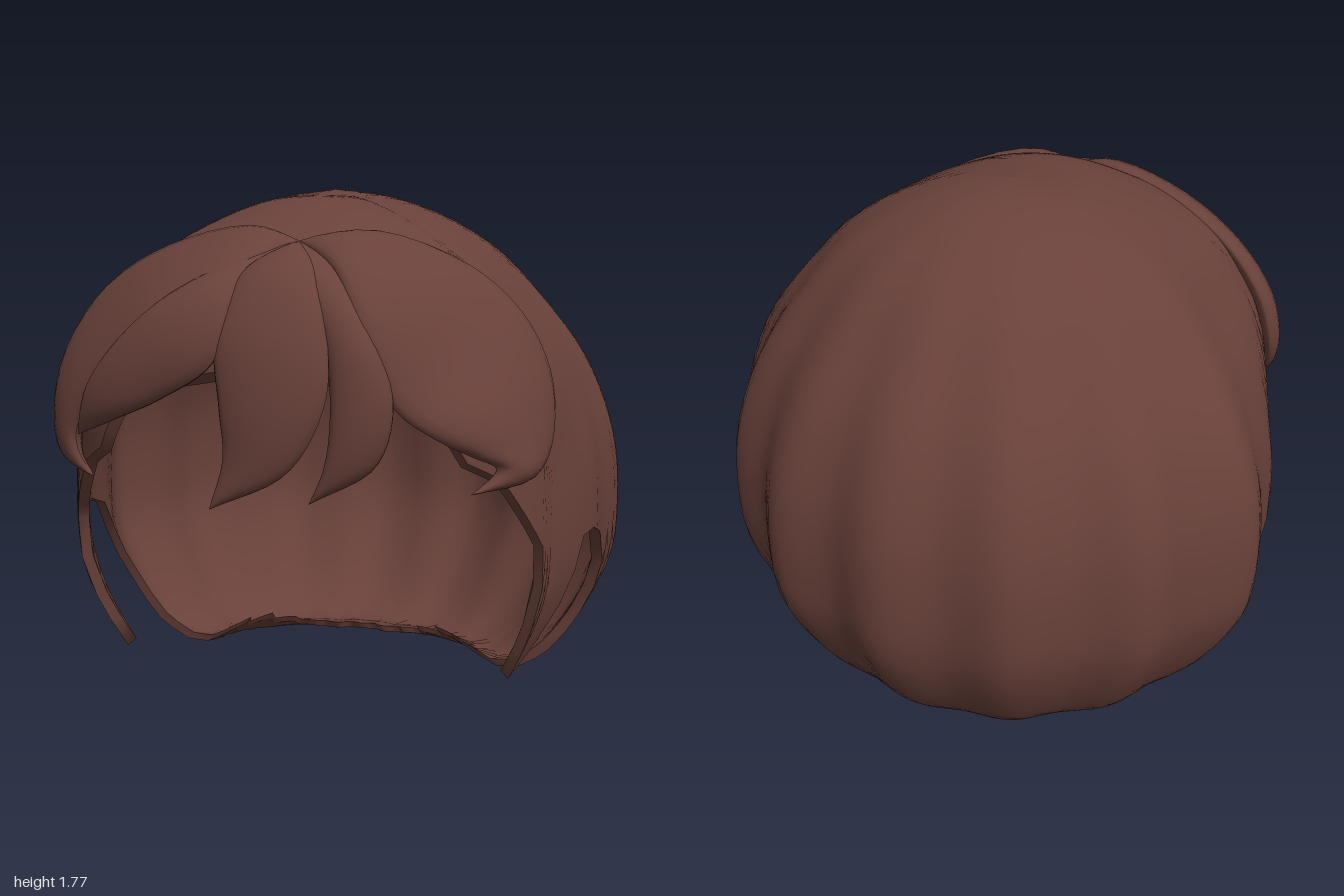
import * as THREE from 'three';

const V = (x, y, z = 0) => new THREE.Vector3(x, y, z);
const { smoothstep, degToRad } = THREE.MathUtils;
const hairBrown = new THREE.MeshStandardMaterial({ color: 0x69413a, side: THREE.DoubleSide });
hairBrown.name = 'hairBrown';

// Piecewise linear lookup in [key, value] pairs
function lookup(table, k) {
  for (let i = 1; i < table.length; i++) {
    const [k0, v0] = table[i - 1], [k1, v1] = table[i];
    if (k <= k1) return v0 + (v1 - v0) * (k - k0) / (k1 - k0);
  }
  return table[table.length - 1][1];
}

// Smooth surface through rows of points
function grid(rows, flip = false) {
  const n = rows[0].length, index = [];
  for (let i = 0; i < rows.length - 1; i++) {
    for (let j = 0; j < n - 1; j++) {
      const a = i * n + j, b = a + 1, c = a + n, d = c + 1;
      index.push(...(flip ? [a, c, b, b, c, d] : [a, b, c, b, d, c]));
    }
  }
  const geo = new THREE.BufferGeometry().setFromPoints(rows.flat());
  geo.setIndex(index);
  geo.computeVertexNormals();
  return geo;
}

function addMesh(group, name, geo) {
  const mesh = new THREE.Mesh(geo, hairBrown);
  mesh.name = name;
  group.add(mesh);
}

// Crown-to-hem profile: radius, height (below zero is the lip that curls inward)
const profile = new THREE.CatmullRomCurve3([
  [0, 1.77], [0.2, 1.75], [0.42, 1.67], [0.6, 1.55], [0.74, 1.39], [0.85, 1.24], [0.935, 1.06],
  [0.985, 0.88], [1, 0.68], [0.985, 0.48], [0.9, 0.28], [0.805, 0.13], [0.72, 0.045], [0.62, -0.01],
  [0.5, -0.11], [0.38, -0.22],
].map(([r, y]) => V(r, y)));

// Hem height by angle from the back: toothed nape lip, ear arch, pointed side lock, hairline
const hem = [
  [0, -0.17], [6, -0.12], [13, -0.18], [19, -0.12], [26, -0.18], [32, -0.11], [38, -0.17],
  [45, -0.1], [51, -0.16], [57, -0.08], [62, -0.13], [68, -0.05], [74, 0.02], [77, 0.1],
  [79, 0.25], [84, 0.47], [90, 0.6], [99, 0.65], [104, 0.64], [110, 0.42], [116, 0.16],
  [118, 0.36], [120, 0.65], [132, 0.89], [140, 0.95], [147, 1.12], [155, 1.18], [180, 1.25],
];
// Width of the head by angle from the back
const girth = [[0, 0.955], [45, 0.965], [76, 1], [95, 0.95], [116, 0.915], [132, 0.93], [180, 0.93]];

function profileAt(y) {
  let lo = 0, hi = 1;
  for (let i = 0; i < 30; i++) {
    const mid = (lo + hi) / 2;
    if (profile.getPoint(mid).y > y) lo = mid; else hi = mid;
  }
  return lo;
}

function buildCap(group) {
  const half = [0];
  for (let i = 1; i < hem.length; i++) {
    const a = hem[i - 1][0], b = hem[i][0], n = Math.max(2, Math.ceil((b - a) / 3));
    for (let k = 1; k <= n; k++) half.push(a + (b - a) * k / n);
  }
  const angles = [...half.slice(1).reverse().map((a) => -a), ...half];
  const steps = 32, outer = [];
  const ends = angles.map((a) => profileAt(lookup(hem, Math.abs(a))));
  for (let i = 0; i <= steps; i++) {
    outer.push(angles.map((deg, j) => {
      const p = profile.getPoint(ends[j] * i / steps);
      const a = degToRad(deg), abs = Math.abs(deg);
      // Soft strand ridges at the back only
      const ridge = 0.025 * (1 - smoothstep(abs, 78, 105)) * p.x * p.x * Math.cos(14 * a);
      // Swollen temples that carry the outer locks
      const temple = 0.07 * smoothstep(abs, 95, 122) * (1 - smoothstep(abs, 140, 165))
        * smoothstep(p.y, 0.85, 1.2) * (1 - smoothstep(p.y, 1.45, 1.72));
      const r = p.x * (lookup(girth, abs) + ridge) + temple;
      // Fuller crown above the fringe
      const full = smoothstep(abs, 50, 125) * smoothstep(p.y, 1.1, 1.5);
      const y = p.y < 0 ? -(0.25 + 0.5 * smoothstep(abs, 15, 65)) * p.y : p.y;
      return V(r * Math.sin(a), y - 0.02 * full, -r * Math.cos(a) + 0.15 * full);
    }));
  }
  const inner = outer.map((row) => row.map((p) => V(p.x * 0.96, 0.6 + (p.y - 0.6) * 0.95, p.z * 0.96)));
  addMesh(group, 'outerHair', grid(outer));
  addMesh(group, 'innerHair', grid(inner, true));
  addMesh(group, 'hairRim', grid([outer[steps], inner[steps]]));
}

// Puffed lock lofted between two edge curves from the shared parting
function buildLock(group, name, left, right, puff) {
  const root = [0.05, 1.6, 0.62];
  const curve = (pts) => new THREE.CatmullRomCurve3([root, ...pts].map((p) => V(...p)), false, 'centripetal');
  const L = curve(left), R = curve(right), rows = [], steps = 28, sides = 24;
  for (let i = 0; i <= steps; i++) {
    const a = L.getPoint(i / steps), b = R.getPoint(i / steps);
    const mid = a.clone().add(b).multiplyScalar(0.5);
    const side = b.clone().sub(a).multiplyScalar(0.5);
    const out = mid.clone().sub(V(0, 0.8, 0)).normalize();
    const swell = Math.pow(Math.sin(Math.PI * Math.min(0.999, i / steps)), 0.6);
    const row = [];
    for (let j = 0; j <= sides; j++) {
      const t = (j / sides) * Math.PI * 2, s = Math.sin(t);
      const lift = s * swell * (s > 0 ? puff : 0.04);
      row.push(mid.clone().addScaledVector(side, Math.cos(t)).addScaledVector(out, lift));
    }
    rows.push(row);
  }
  addMesh(group, name, grid(rows));
}

export function createModel() {
  const model = new THREE.Group();
  model.name = 'hair';
  buildCap(model);

  const fringe = new THREE.Group();
  fringe.name = 'fringe';
  model.add(fringe);
  buildLock(fringe, 'rightOuterLock',
    [[-0.12, 1.64, 0.55], [-0.4, 1.58, 0.49], [-0.62, 1.46, 0.45], [-0.75, 1.28, 0.46],
      [-0.79, 1.08, 0.5], [-0.74, 0.92, 0.62], [-0.58, 0.87, 0.78]],
    [[-0.1, 1.5, 0.8], [-0.3, 1.35, 0.87], [-0.48, 1.2, 0.83], [-0.6, 1.08, 0.79],
      [-0.64, 1.0, 0.77], [-0.63, 0.94, 0.77], [-0.58, 0.87, 0.78]], 0.075);
  buildLock(fringe, 'rightSweptLock',
    [[-0.15, 1.52, 0.78], [-0.32, 1.42, 0.84], [-0.48, 1.28, 0.83], [-0.58, 1.15, 0.8], [-0.63, 1.0, 0.77]],
    [[-0.08, 1.4, 0.88], [-0.13, 1.25, 0.92], [-0.3, 1.14, 0.9], [-0.46, 1.07, 0.86], [-0.63, 1.0, 0.77]], 0.05);
  buildLock(fringe, 'centreLock',
    [[-0.08, 1.5, 0.8], [-0.13, 1.32, 0.89], [-0.11, 1.12, 0.92], [-0.1, 0.97, 0.92], [-0.14, 0.82, 0.93]],
    [[0.15, 1.52, 0.8], [0.21, 1.33, 0.89], [0.21, 1.14, 0.92], [0.1, 0.94, 0.93], [-0.14, 0.82, 0.93]], 0.055);
  buildLock(fringe, 'leftInnerLock',
    [[0.1, 1.5, 0.8], [0.2, 1.3, 0.88], [0.22, 1.1, 0.9], [0.2, 0.95, 0.9], [0.15, 0.84, 0.88]],
    [[0.22, 1.5, 0.76], [0.34, 1.32, 0.85], [0.4, 1.14, 0.87], [0.35, 0.96, 0.87], [0.15, 0.84, 0.88]], 0.05);
  buildLock(fringe, 'leftOuterLock',
    [[0.2, 1.52, 0.78], [0.3, 1.35, 0.87], [0.4, 1.13, 0.87], [0.52, 1.04, 0.84],
      [0.62, 0.98, 0.77], [0.68, 0.94, 0.72], [0.61, 0.87, 0.77]],
    [[0.28, 1.62, 0.52], [0.54, 1.52, 0.43], [0.7, 1.38, 0.4], [0.79, 1.2, 0.39],
      [0.81, 1.02, 0.45], [0.77, 0.9, 0.6], [0.61, 0.87, 0.77]], 0.08);
  return model;
}
